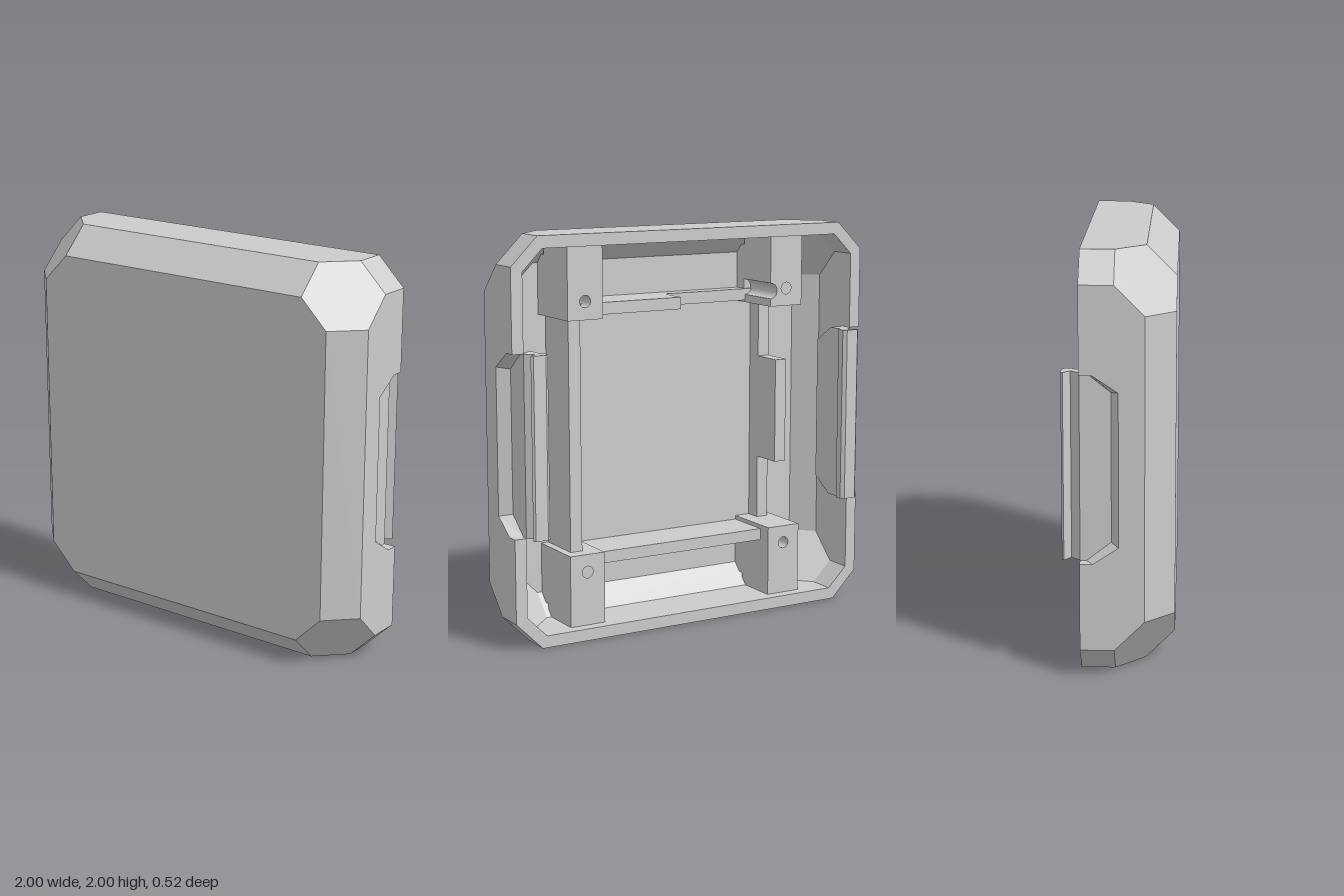
import * as THREE from 'three';

const material = new THREE.MeshStandardMaterial({ color: 0xcccccc, flatShading: true });
const openMaterial = new THREE.MeshStandardMaterial({ color: 0xcccccc, flatShading: true, side: THREE.DoubleSide });
const BACK = -0.18, WALL = 0.06;

const shapeOf = pts => new THREE.Shape(pts.map(p => new THREE.Vector2(p[0], p[1])));
const extrude = (shape, depth) =>
  new THREE.ExtrudeGeometry(shape, { depth, bevelEnabled: false, curveSegments: 16 });

// Extrude a [z, y] outline from x0 to x1
const extrudeX = (pts, x0, x1) =>
  extrude(shapeOf(pts.map(([z, y]) => [-z, y])), x1 - x0).rotateY(Math.PI / 2).translate(x0, 0, 0);

// Extrude an [x, z] outline from y0 to y1
const extrudeY = (pts, y0, y1) =>
  extrude(shapeOf(pts.map(([x, z]) => [x, -z])), y1 - y0).rotateX(-Math.PI / 2).translate(0, y0, 0);

// Flat-faced skin through cross-sections of equal point count
function loft(rings, { closed = true, caps = false, skip = () => false } = {}) {
  const pos = [];
  const tri = (...v) => v.forEach(p => pos.push(...p));
  const n = rings[0].length;
  for (let j = 0; j < rings.length - 1; j++) {
    for (let i = 0; i < (closed ? n : n - 1); i++) {
      if (skip(j, i)) continue;
      const k = (i + 1) % n, a = rings[j], b = rings[j + 1];
      tri(a[i], a[k], b[k]);
      tri(a[i], b[k], b[i]);
    }
  }
  if (caps) {
    const first = rings[0], last = rings[rings.length - 1];
    for (let i = 1; i < n - 1; i++) {
      tri(first[0], first[i + 1], first[i]);
      tri(last[0], last[i], last[i + 1]);
    }
  }
  const g = new THREE.BufferGeometry();
  g.setAttribute('position', new THREE.Float32BufferAttribute(pos, 3));
  g.computeVertexNormals();
  return g;
}

const octagon = (h, k, z) =>
  [[h, -k], [h, k], [k, h], [-k, h], [-h, k], [-h, -k], [-k, -h], [k, -h]].map(([x, y]) => [x, y + 1, z]);

// Chamfered tray sections, with every face plane moved inward by t
function traySections(t) {
  const h = 1 - t, front = 0.26 - t;
  const edge = 1.12 - Math.SQRT2 * t, post = 1.86 - Math.SQRT2 * t, corner = 1.84 - Math.sqrt(3) * t;
  const z2 = edge - h, h3 = edge - front;
  return [
    octagon(h, post - h, BACK),
    octagon(h, post - h, corner - post),
    octagon(h, corner - h - z2, z2),
    octagon(h3, corner - h3 - front, front),
  ];
}

export function createModel() {
  const model = new THREE.Group();
  const add = (name, geometry, mat = material) => {
    const mesh = new THREE.Mesh(geometry, mat);
    mesh.name = name;
    model.add(mesh);
    return mesh;
  };
  const box = (name, x0, x1, y0, y1, z0, z1) =>
    add(name, new THREE.BoxGeometry(x1 - x0, y1 - y0, z1 - z0)
      .translate((x0 + x1) / 2, (y0 + y1) / 2, (z0 + z1) / 2));

  // Hollow tray; the two side walls are separate panels
  add('tray', loft([...traySections(WALL).reverse(), ...traySections(0)], {
    caps: true,
    skip: (band, side) => band >= 1 && band <= 5 && side % 4 === 0,
  }));

  // Side walls with a finger recess, and a snap hook behind each
  const notch = [[BACK, 1.45], [-0.12, 1.45], [0, 1.37], [0, 0.64], [-0.12, 0.56], [BACK, 0.56]];
  const notchFloor = [[BACK, 1.45], [-0.15, 1.45], [-0.035, 1.36], [-0.035, 0.65], [-0.15, 0.56], [BACK, 0.56]];
  const panel = [[BACK, 0.14], [-0.02, 0.14], [0.12, 0.28], [0.12, 1.72], [-0.02, 1.86], [BACK, 1.86], ...notch];
  const hook = [[0.94, BACK], [0.9, -0.222], [0.94, -0.255], [0.93, -0.265], [0.865, -0.265],
    [0.848, -0.25], [0.848, -0.212], [0.865, -0.2], [0.865, BACK]];
  for (const s of [1, -1]) {
    const span = (a, b) => (s > 0 ? [a, b] : [-b, -a]);
    add('sideWall', extrudeX(panel, ...span(1 - WALL, 1)));
    add('recessPad', extrudeX(notch, ...span(0.865, 0.94)));
    add('recessSlope', loft([
      notch.map(([z, y]) => [s, y, z]),
      notchFloor.map(([z, y]) => [s * 0.94, y, z]),
    ], { closed: false }), openMaterial);
    add('snapHook', extrudeY(hook.map(([x, z]) => [s * x, z]), 0.56, 1.45));
  }

  // Corner screw posts: drilled upper part on a solid foot
  for (const sx of [1, -1]) {
    for (const sy of [1, -1]) {
      const at = (x, y) => [sx * x, 1 + sy * y];
      const outline = new THREE.Shape();
      outline.moveTo(...at(0.675, 0.58));
      outline.lineTo(...at(0.675, 0.95));
      outline.lineTo(...at(0.485, 0.95));
      // Cable groove in one post only
      if (sx < 0 && sy > 0) outline.absarc(-0.485, 1.66, 0.04, Math.PI / 2, Math.PI * 1.5, false);
      outline.lineTo(...at(0.485, 0.58));
      outline.closePath();
      const hole = new THREE.Path();
      hole.absarc(sx * 0.58, 1 + sy * 0.67, 0.03, 0, Math.PI * 2, true);
      outline.holes.push(hole);
      add('screwPost', extrude(outline, 0.25).translate(0, 0, -0.12));
      const [x0, x1] = sx > 0 ? [0.485, 0.675] : [-0.675, -0.485];
      const [y0, y1] = sy > 0 ? [1.58, 1.88] : [0.12, 0.42];
      box('postFoot', x0, x1, y0, y1, 0.13, 0.21);
    }
  }

  // Rails around the floor, some standing only part of the way
  const HIGH = -0.045, LOW = 0.12, FLOOR = 0.21;
  box('leftRail', 0.57, 0.635, 0.38, 1.62, HIGH, FLOOR);
  box('rightRail', -0.635, -0.57, 0.38, 1.62, LOW, FLOOR);
  box('rightRailTab', -0.635, -0.57, 0.75, 1.29, HIGH, LOW);
  box('bottomRail', -0.57, 0.57, 0.34, 0.4, HIGH, FLOOR);
  box('topRail', -0.57, 0.57, 1.59, 1.65, LOW, FLOOR);
  box('topRailTab', 0, 0.57, 1.59, 1.65, HIGH, LOW);

  return model;
}
